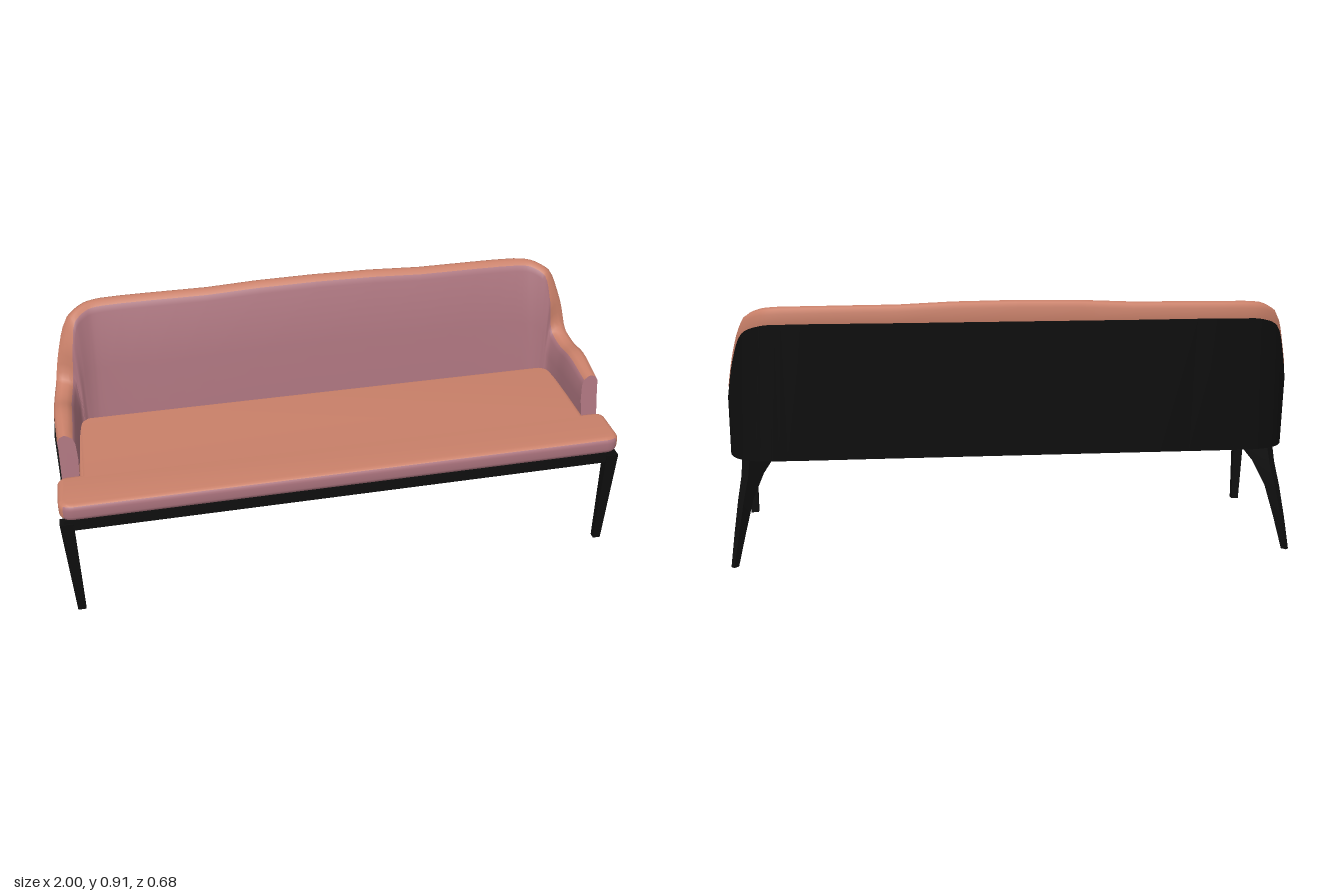
import * as THREE from 'three';
import { toCreasedNormals } from 'three/addons/utils/BufferGeometryUtils.js';

const V = (x, y, z) => new THREE.Vector3(x, y, z);

// Closed loft through rings of equal length; slot(column) picks the material, capSlot colours the ends.
function loft(rings, crease, slot = () => 0, capSlot = 0) {
  const n = rings[0].length;
  const pos = [];
  rings.forEach(r => r.forEach(p => pos.push(p.x, p.y, p.z)));
  const sets = [[], []];
  for (let i = 0; i < rings.length - 1; i++) {
    for (let j = 0; j < n; j++) {
      const a = i * n + j, b = i * n + (j + 1) % n, c = b + n, d = a + n;
      sets[slot(j)].push(a, b, c, a, c, d);
    }
  }
  [0, rings.length - 1].forEach(i => {
    const mid = rings[i].reduce((s, p) => s.add(p), V(0, 0, 0)).divideScalar(n);
    const m = pos.length / 3;
    pos.push(mid.x, mid.y, mid.z);
    for (let j = 0; j < n; j++) {
      const a = i * n + j, b = i * n + (j + 1) % n;
      sets[capSlot].push(...(i === 0 ? [m, b, a] : [m, a, b]));
    }
  });
  // Turn the faces outward when the signed volume is negative
  const at = k => V(pos[3 * k], pos[3 * k + 1], pos[3 * k + 2]);
  let volume = 0;
  sets.forEach(s => {
    for (let k = 0; k < s.length; k += 3) volume += at(s[k]).dot(at(s[k + 1]).cross(at(s[k + 2])));
  });
  if (volume < 0) sets.forEach(s => s.reverse());
  const g = new THREE.BufferGeometry();
  g.setAttribute('position', new THREE.Float32BufferAttribute(pos, 3));
  g.setIndex([...sets[0], ...sets[1]]);
  g.addGroup(0, sets[0].length, 0);
  g.addGroup(sets[0].length, sets[1].length, 1);
  return toCreasedNormals(g, crease);
}

// Half of the wrap-around: base x, base z, top x, top z, shell height, cushion height, thickness at top and bottom
const half = [
  [0.99, 0.10, 0.99, 0.05, 0.56, 0.605, 0.065, 0.065],
  [0.99, 0.00, 0.99, -0.02, 0.56, 0.625, 0.075, 0.075],
  [0.99, -0.09, 0.99, -0.11, 0.562, 0.615, 0.075, 0.08],
  [0.985, -0.16, 0.98, -0.195, 0.575, 0.64, 0.075, 0.085],
  [0.965, -0.215, 0.955, -0.235, 0.70, 0.76, 0.07, 0.09],
  [0.93, -0.255, 0.915, -0.28, 0.80, 0.86, 0.065, 0.095],
  [0.87, -0.28, 0.85, -0.322, 0.83, 0.887, 0.065, 0.10],
  [0.78, -0.285, 0.78, -0.335, 0.835, 0.893, 0.065, 0.10],
  [0.40, -0.285, 0.40, -0.335, 0.835, 0.895, 0.065, 0.10],
];
const BASE_Y = 0.36;

// Samples the U path; each station gives at(y, inset), a point on the leaning wall
function stations(list, count) {
  const mirrored = list.map(s => [-s[0], s[1], -s[2], ...s.slice(3)]).reverse();
  const all = [...list, ...mirrored];
  const curve = f => new THREE.CatmullRomCurve3(all.map(f));
  const base = curve(s => V(s[0], BASE_Y, s[1]));
  const top = curve(s => V(s[2], s[4], s[3]));
  const pad = curve(s => V(s[5], s[6], s[7]));
  return Array.from({ length: count + 1 }, (_, i) => {
    const t = i / count;
    const b = base.getPoint(t), e = top.getPoint(t), p = pad.getPoint(t);
    const tan = base.getTangent(t).setY(0).normalize();
    const inward = V(tan.z, 0, -tan.x);
    const at = (y, inset) => b.clone()
      .lerp(e, (y - BASE_Y) / (e.y - BASE_Y)).setY(y).addScaledVector(inward, inset);
    return { at, shellY: e.y, padY: p.x, thickTop: p.y, thickBottom: p.z };
  });
}

export function createModel() {
  const model = new THREE.Group();
  const tan = new THREE.MeshStandardMaterial({ color: 0xc98069 });
  tan.name = 'tan upholstery';
  const mauve = new THREE.MeshStandardMaterial({ color: 0xa9727c });
  mauve.name = 'mauve upholstery';
  const black = new THREE.MeshStandardMaterial({ color: 0x0e0e0e });
  black.name = 'black frame';
  const add = (name, geometry, material) => {
    const mesh = new THREE.Mesh(geometry, material);
    mesh.name = name;
    model.add(mesh);
    return mesh;
  };

  // Outer shell around the back and arms
  const shellRings = stations(half, 68).map(s => [
    s.at(BASE_Y, 0), s.at(s.shellY, 0), s.at(s.shellY, 0.014), s.at(BASE_Y, 0.014),
  ]);
  add('backShell', loft(shellRings, 0.6), [black, black]);

  // Padded back and arms, reaching past the shell at the front
  const padHalf = half.map((s, i) => (i ? s : [0.99, 0.163, 0.985, 0.122, ...s.slice(4)]));
  const padRings = stations(padHalf, 68).map(s => {
    const { at, padY: y, thickTop: a, thickBottom: b } = s;
    return [
      at(0.405, 0.007), at(s.shellY, 0.006), at(y - 0.022, 0.004), at(y - 0.006, 0.013),
      at(y, 0.03), at(y - 0.004, a - 0.024), at(y - 0.015, a - 0.008), at(y - 0.035, a),
      at((y + 0.42) / 2, (a + b) / 2 + 0.004), at(0.405, b),
    ];
  });
  add('backCushion', loft(padRings, 0.9, j => (j >= 6 && j < 9 ? 1 : 0), 1), [tan, mauve]);

  // Seat cushion, wider in front of the arms, with rounded edges
  const seatShape = new THREE.Shape();
  seatShape.moveTo(-0.90, 0.18);
  seatShape.lineTo(-0.90, -0.175);
  seatShape.lineTo(-0.96, -0.175);
  seatShape.quadraticCurveTo(-0.977, -0.175, -0.977, -0.19);
  seatShape.lineTo(-0.977, -0.29);
  seatShape.quadraticCurveTo(-0.977, -0.318, -0.945, -0.318);
  seatShape.lineTo(0.945, -0.318);
  seatShape.quadraticCurveTo(0.977, -0.318, 0.977, -0.29);
  seatShape.lineTo(0.977, -0.19);
  seatShape.quadraticCurveTo(0.977, -0.175, 0.96, -0.175);
  seatShape.lineTo(0.90, -0.175);
  seatShape.lineTo(0.90, 0.18);
  const seat = toCreasedNormals(new THREE.ExtrudeGeometry(seatShape, {
    depth: 0.025, bevelSize: 0.02, bevelThickness: 0.02, bevelSegments: 4, curveSegments: 6,
  }).rotateX(-Math.PI / 2).translate(0, 0.425, 0), 0.7);
  // Front-facing faces take the second colour
  seat.clearGroups();
  const p = seat.attributes.position;
  const tri = new THREE.Triangle(), normal = V(0, 0, 0);
  for (let i = 0; i < p.count; i += 3) {
    tri.setFromAttributeAndIndices(p, i, i + 1, i + 2).getNormal(normal);
    const slot = normal.z > 0.65 ? 1 : 0;
    const last = seat.groups[seat.groups.length - 1];
    if (last && last.materialIndex === slot) last.count += 3;
    else seat.addGroup(i, 3, slot);
  }
  add('seatCushion', seat, [tan, mauve]);

  // Open rail under the seat
  const right = [[0.985, 0.325], ...half.slice(2, 8).map(s => [s[0] - 0.005, s[1] + 0.005])];
  const outline = [...right, ...right.map(([x, z]) => [-x, z]).reverse()];
  const railShape = new THREE.Shape(outline.map(([x, z]) => new THREE.Vector2(x, -z)));
  railShape.holes.push(new THREE.Path(outline.map(([x, z]) =>
    new THREE.Vector2(x * 0.965, -(0.025 + (z - 0.025) * 0.9)))));
  add('seatRail', new THREE.ExtrudeGeometry(railShape, { depth: 0.045, bevelEnabled: false })
    .rotateX(-Math.PI / 2).translate(0, BASE_Y, 0), black);

  // Legs: straight tapered in front, curved and splayed diagonally behind
  const ring = (x, y, z, length, width, angle) => [[1, 1], [1, -1], [-1, -1], [-1, 1]].map(([u, v]) =>
    V(u * length / 2, 0, v * width / 2).applyAxisAngle(V(0, 1, 0), angle).add(V(x, y, z)));
  const backLeg = [
    [0.88, 0.37, -0.18, 0.13, 0.04], [0.907, 0.30, -0.226, 0.068, 0.036],
    [0.93, 0.22, -0.265, 0.042, 0.03], [0.95, 0.11, -0.298, 0.03, 0.024],
    [0.969, 0, -0.322, 0.02, 0.016],
  ];
  for (const side of [1, -1]) {
    const label = side > 0 ? 'left' : 'right';
    add(label + 'FrontLeg', loft([
      ring(side * 0.97, 0, 0.31, 0.028, 0.022, 0),
      ring(side * 0.977, 0.39, 0.309, 0.044, 0.038, 0),
    ], 0.4), [black, black]);
    add(label + 'BackLeg', loft(backLeg.map(([x, y, z, l, w]) =>
      ring(side * x, y, z, l, w, side * Math.PI / 4)), 0.6), [black, black]);
  }
  return model;
}
